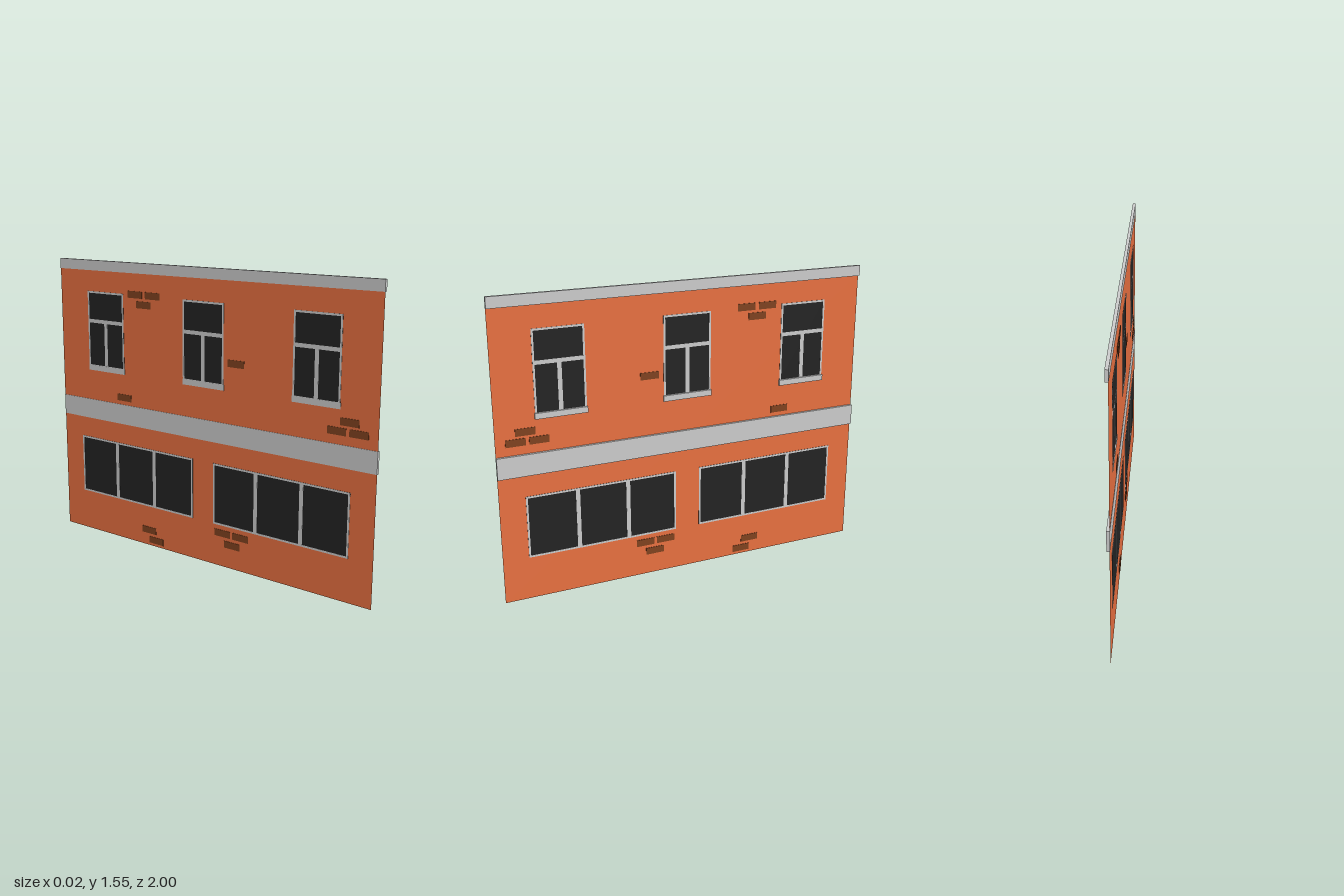
import * as THREE from 'three';

const mat = (color) => new THREE.MeshStandardMaterial({ color, flatShading: true });

export function createModel() {
  const model = new THREE.Group();
  const trim = mat(0xcccccc);
  const glass = mat(0x232323);
  const brick = mat(0x80421f);
  const wallMat = mat(0xe87040);
  wallMat.side = THREE.DoubleSide;
  const wallX = -0.006;

  // Box given by its x, y and z ranges
  const box = (parent, name, material, [x0, x1], [y0, y1], [z0, z1]) => {
    const mesh = new THREE.Mesh(new THREE.BoxGeometry(x1 - x0, y1 - y0, z1 - z0), material);
    mesh.position.set((x0 + x1) / 2, (y0 + y1) / 2, (z0 + z1) / 2);
    mesh.name = name;
    parent.add(mesh);
  };
  const group = (name, z) => {
    const g = new THREE.Group();
    g.name = name;
    g.position.z = z;
    model.add(g);
    return g;
  };

  // Thin facade sheet
  const wall = new THREE.Mesh(new THREE.PlaneGeometry(2, 1.5), wallMat);
  wall.rotation.y = Math.PI / 2;
  wall.position.set(wallX, 0.75, 0);
  wall.name = 'wall';
  model.add(wall);

  // Cornice and the band between the floors
  box(model, 'cornice', trim, [-0.008, 0.008], [1.495, 1.55], [-1, 1]);
  box(model, 'floorBand', trim, [-0.008, 0.008], [0.665, 0.775], [-1, 1]);

  const paneX = [-0.007, -0.005];
  const frameX = [-0.0078, -0.004];

  // Outer frame with glass behind it
  const framedPane = (g, w, y0, y1, t) => {
    box(g, 'glass', glass, paneX, [y0, y1], [-w, w]);
    for (const s of [-1, 1]) {
      const c = s * (w - t / 2);
      box(g, 'frameSide', trim, frameX, [y0, y1], [c - t / 2, c + t / 2]);
    }
    box(g, 'frameTop', trim, frameX, [y1 - t, y1], [-w + t, w - t]);
    box(g, 'frameBottom', trim, frameX, [y0, y0 + t], [-w + t, w - t]);
  };

  // Upper windows: top light over two casements, with a sill
  for (const z of [-0.667, 0, 0.667]) {
    const g = group('upperWindow', z);
    framedPane(g, 0.13, 0.965, 1.382, 0.01);
    box(g, 'transom', trim, frameX, [1.209, 1.229], [-0.12, 0.12]);
    box(g, 'mullion', trim, frameX, [0.975, 1.209], [-0.011, 0.011]);
    box(g, 'sill', trim, [-0.008, 0.003], [0.943, 0.973], [-0.133, 0.133]);
  }

  // Wide ground floor windows with three panes each
  for (const z of [-0.467, 0.467]) {
    const g = group('shopWindow', z);
    framedPane(g, 0.4, 0.225, 0.553, 0.01);
    for (const c of [-0.134, 0.134]) {
      box(g, 'mullion', trim, frameX, [0.235, 0.543], [c - 0.011, c + 0.011]);
    }
  }

  // Exposed bricks: centre z, centre y
  const bricks = [
    [-0.332, 1.383], [-0.453, 1.383], [-0.394, 1.332],
    [0.206, 1.086], [0.85, 0.887], [0.9, 0.838], [0.783, 0.838], [-0.54, 0.815],
    [0.241, 0.182], [0.128, 0.182], [0.189, 0.127], [-0.375, 0.087], [-0.324, 0.034],
  ];
  for (const [z, y] of bricks) {
    box(model, 'brick', brick, [-0.008, -0.0035], [y - 0.0185, y + 0.0185], [z - 0.05, z + 0.05]);
  }
  return model;
}
